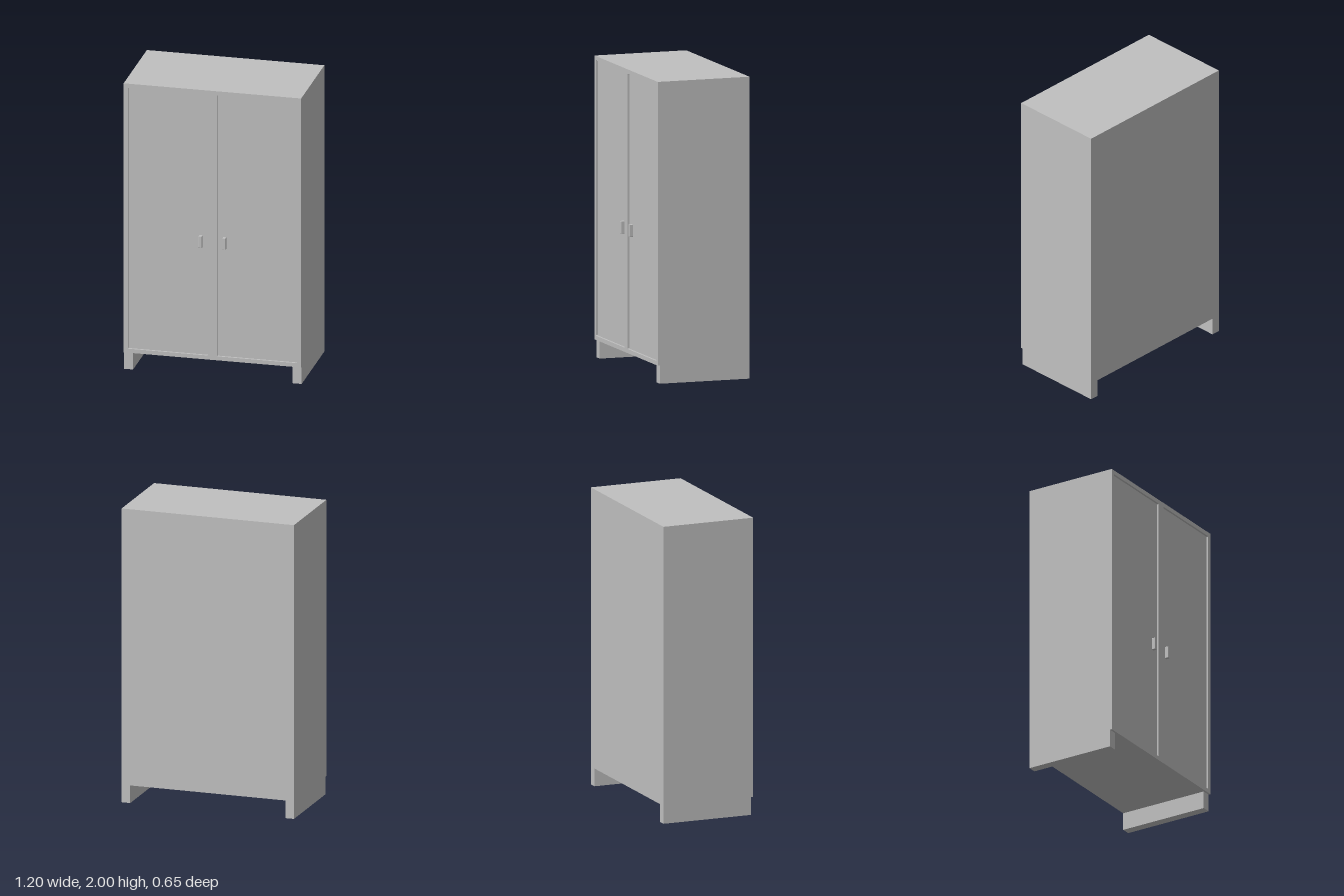
import * as THREE from 'three';
import { RoundedBoxGeometry } from 'three/addons/geometries/RoundedBoxGeometry.js';

const W = 0.598, TOP = 2, BASE = 0.12;               // half width, top, underside
const BACK = -0.325, DOOR = 0.301, FRONT = 0.315;    // depth planes
const HANDLE_FRONT = 0.325;

// closed rounded rectangle drawn into a Shape or Path
function roundedRect(path, x0, y0, x1, y1, r) {
  path.moveTo(x0 + r, y0);
  path.lineTo(x1 - r, y0);
  path.quadraticCurveTo(x1, y0, x1, y0 + r);
  path.lineTo(x1, y1 - r);
  path.quadraticCurveTo(x1, y1, x1 - r, y1);
  path.lineTo(x0 + r, y1);
  path.quadraticCurveTo(x0, y1, x0, y1 - r);
  path.lineTo(x0, y0 + r);
  path.quadraticCurveTo(x0, y0, x0 + r, y0);
  return path;
}

export function createModel() {
  const group = new THREE.Group();
  const grey = new THREE.MeshStandardMaterial({ color: 0xc0c0c0 });
  grey.name = 'light grey';

  const add = (name, geometry, x = 0, y = 0, z = 0) => {
    const mesh = new THREE.Mesh(geometry, grey);
    mesh.name = name;
    mesh.position.set(x, y, z);
    group.add(mesh);
  };

  // cabinet body, its front face forming the recessed door panels
  const depth = DOOR - BACK, midZ = (DOOR + BACK) / 2;
  add('body', new THREE.BoxGeometry(2 * W, TOP - BASE, depth), 0, (TOP + BASE) / 2, midZ);

  // front frame with two door openings
  const frame = new THREE.Shape();
  frame.moveTo(-W, BASE);
  frame.lineTo(W, BASE);
  frame.lineTo(W, TOP);
  frame.lineTo(-W, TOP);
  frame.closePath();
  frame.holes.push(
    roundedRect(new THREE.Path(), -0.57, 0.148, -0.03, 1.972, 0.006),
    roundedRect(new THREE.Path(), 0.03, 0.148, 0.57, 1.972, 0.006)
  );
  add('doorFrame', new THREE.ExtrudeGeometry(frame,
    { depth: FRONT - DOOR, bevelEnabled: false, curveSegments: 4 }), 0, 0, DOOR);

  // runner legs and door handles, mirrored
  for (const [side, s] of [['left', 1], ['right', -1]]) {
    add(side + 'Leg', new THREE.BoxGeometry(0.06, BASE, depth), s * (W - 0.03), BASE / 2, midZ);
    const back = DOOR - 0.006;
    add(side + 'Handle', new RoundedBoxGeometry(0.022, 0.082, HANDLE_FRONT - back, 2, 0.003),
      s * 0.08, 0.939, (HANDLE_FRONT + back) / 2);
  }
  return group;
}
